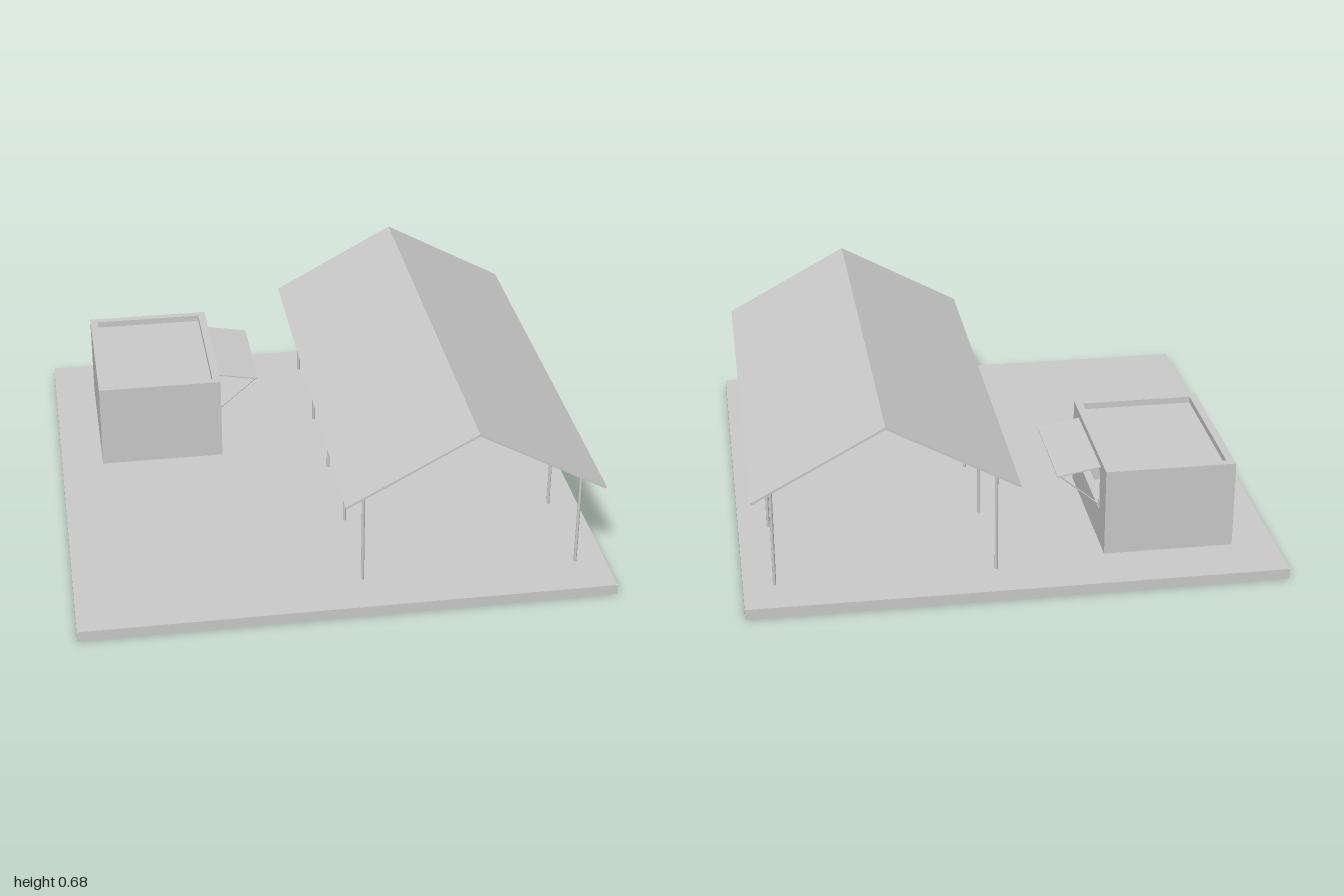
import * as THREE from 'three';

const grey = new THREE.MeshStandardMaterial({ color: 0xcccccc, flatShading: true });
const smooth = new THREE.MeshStandardMaterial({ color: 0xcccccc });

function add(parent, name, geometry, material = grey) {
  const mesh = new THREE.Mesh(geometry, material);
  mesh.name = name;
  parent.add(mesh);
  return mesh;
}

// Box given by its lower and upper bounds on each axis
function box(parent, name, [x0, x1], [y0, y1], [z0, z1]) {
  const mesh = add(parent, name, new THREE.BoxGeometry(x1 - x0, y1 - y0, z1 - z0));
  mesh.position.set((x0 + x1) / 2, (y0 + y1) / 2, (z0 + z1) / 2);
  return mesh;
}

// Round bar between two points
function bar(parent, name, a, b, radius) {
  const from = new THREE.Vector3(...a), to = new THREE.Vector3(...b);
  const dir = to.clone().sub(from);
  const mesh = add(parent, name, new THREE.CylinderGeometry(radius, radius, dir.length(), 12), smooth);
  mesh.position.copy(from).add(to).multiplyScalar(0.5);
  mesh.quaternion.setFromUnitVectors(new THREE.Vector3(0, 1, 0), dir.normalize());
  return mesh;
}

// Profile in x and y, extruded along z
function extrudeZ(parent, name, points, z0, z1) {
  const shape = new THREE.Shape(points.map(([x, y]) => new THREE.Vector2(x, y)));
  const geometry = new THREE.ExtrudeGeometry(shape, { depth: z1 - z0, bevelEnabled: false });
  const mesh = add(parent, name, geometry);
  mesh.position.z = z0;
  return mesh;
}

const GROUND = 0.04;

function createShelter() {
  const shelter = new THREE.Group();
  shelter.name = 'shelter';

  // Folded gable roof
  extrudeZ(shelter, 'gableRoof', [
    [-0.01, 0.411], [-0.006, 0.403], [0.475, 0.666],
    [0.956, 0.403], [0.96, 0.411], [0.475, 0.675],
  ], -0.9, 0.9);

  // Two rows of posts
  for (const x of [0.07, 0.885]) {
    for (const z of [-0.835, -0.39, 0.005, 0.41, 0.82]) {
      bar(shelter, 'post', [x, GROUND, z], [x, 0.45, z], 0.006);
    }
  }
  return shelter;
}

function createKiosk() {
  const kiosk = new THREE.Group();
  kiosk.name = 'kiosk';
  const [x0, x1, z0, z1, top, t] = [-0.835, -0.345, -0.785, -0.155, 0.38, 0.03];

  // Solid walls, rising past the roof as a parapet
  box(kiosk, 'backWall', [x0, x0 + t], [GROUND, top], [z0, z1]);
  box(kiosk, 'sideWall', [x0 + t, x1 - t], [GROUND, top], [z0, z0 + t]);
  box(kiosk, 'sideWall', [x0 + t, x1 - t], [GROUND, top], [z1 - t, z1]);
  box(kiosk, 'flatRoof', [x0 + t, x1 - t], [0.335, 0.355], [z0 + t, z1 - t]);

  // Serving wall with its hatch, drawn in -z and y then turned to face +x
  const wall = new THREE.Shape([[-z1, GROUND], [-z0, GROUND], [-z0, top], [-z1, top]]
    .map(([u, v]) => new THREE.Vector2(u, v)));
  wall.holes.push(new THREE.Path([[0.265, 0.17], [0.265, 0.33], [0.675, 0.33], [0.675, 0.17]]
    .map(([u, v]) => new THREE.Vector2(u, v))));
  const front = add(kiosk, 'servingWall',
    new THREE.ExtrudeGeometry(wall, { depth: t, bevelEnabled: false }));
  front.rotation.y = Math.PI / 2;
  front.position.x = x1 - t;

  // Propped awning over the hatch
  extrudeZ(kiosk, 'awning', [
    [-0.345, 0.351], [-0.182, 0.322], [-0.181, 0.327], [-0.344, 0.356],
  ], -0.69, -0.26);
  for (const z of [-0.68, -0.268]) {
    bar(kiosk, 'awningStrut', [-0.347, 0.19, z], [-0.19, 0.325, z], 0.003);
    box(kiosk, 'strutBracket', [-0.346, -0.34], [0.187, 0.215], [z - 0.004, z + 0.004]);
  }
  return kiosk;
}

export function createModel() {
  const model = new THREE.Group();
  model.name = 'shelterAndKiosk';
  box(model, 'groundSlab', [-1, 1], [0, GROUND], [-1, 1]);
  model.add(createShelter(), createKiosk());
  return model;
}
